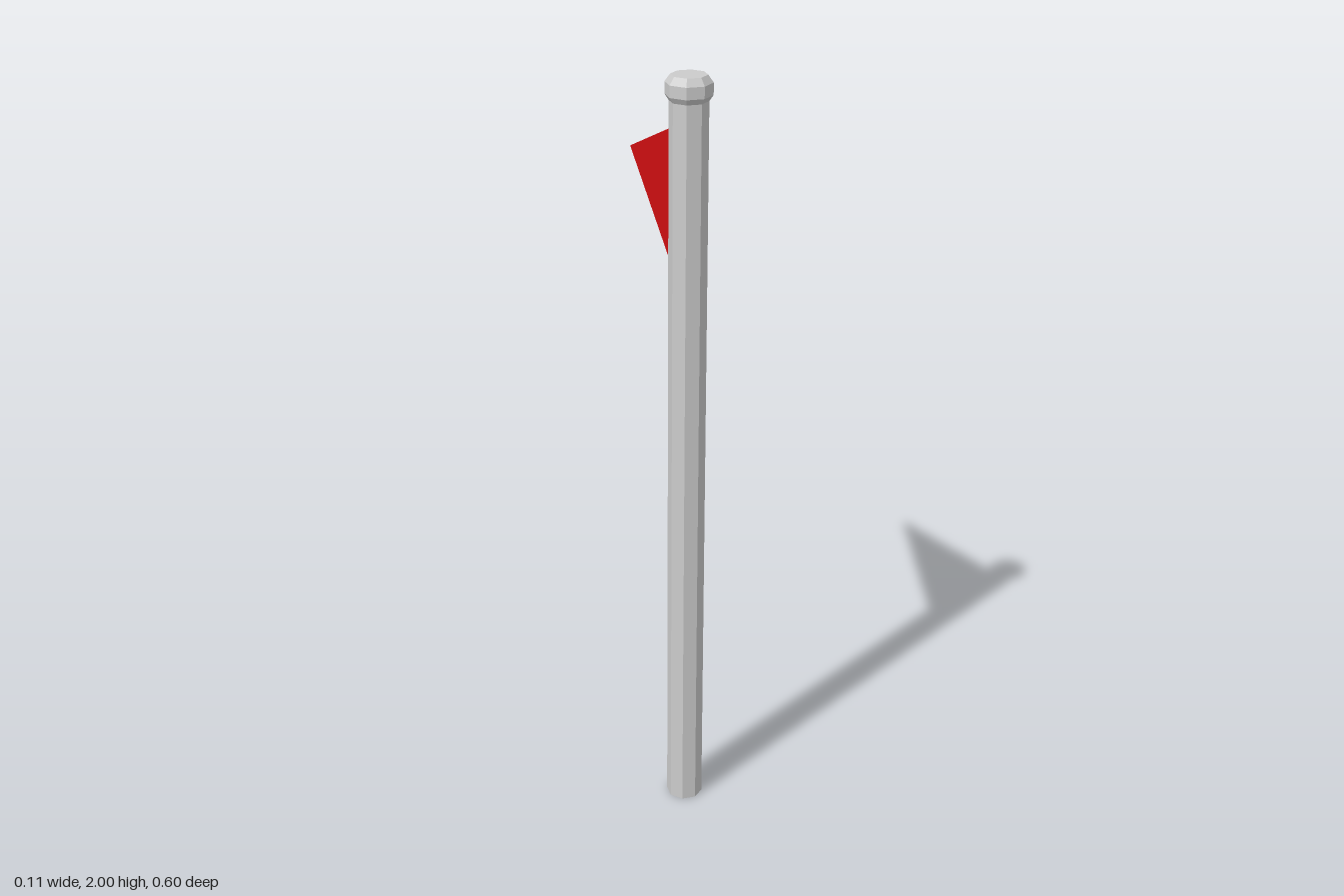
import * as THREE from 'three';

const SIDES = 8;
const TURN = Math.PI / SIDES; // puts flat sides on the x and z axes
const POLE_Z = 0.247;
const POLE_APOTHEM = 0.044;
const toRadius = (apothem) => apothem / Math.cos(TURN);

function addPart(group, name, geometry, color, x, y, z) {
  const material = new THREE.MeshStandardMaterial({ color, flatShading: true });
  const mesh = new THREE.Mesh(geometry, material);
  mesh.name = name;
  mesh.position.set(x, y, z);
  group.add(mesh);
  return mesh;
}

export function createModel() {
  const group = new THREE.Group();
  group.name = 'flagpole';

  // Octagonal pole, standing on the ground
  const poleHeight = 1.945;
  const r = toRadius(POLE_APOTHEM);
  addPart(group, 'pole',
    new THREE.CylinderGeometry(r, r, poleHeight, SIDES, 1, false, TURN),
    0xcccccc, 0, poleHeight / 2, POLE_Z);

  // Bevelled knob on top, as [apothem, y] from bottom to top
  const profile = [[0, 1.937], [0.043, 1.937], [0.053, 1.953], [0.053, 1.982], [0.041, 2], [0, 2]]
    .map(([a, y]) => new THREE.Vector2(toRadius(a), y));
  addPart(group, 'knob', new THREE.LatheGeometry(profile, SIDES, TURN),
    0xcccccc, 0, 0, POLE_Z);

  // Pennant: a thin four-sided pyramid pointing to the back
  const base = POLE_Z - POLE_APOTHEM + 0.002;
  const tip = -0.3;
  const pennant = new THREE.ConeGeometry(Math.SQRT2, 1, 4, 1, false, Math.PI / 4);
  pennant.rotateX(-Math.PI / 2);
  pennant.scale(0.0185, 0.19, base - tip);
  addPart(group, 'pennant', pennant, 0xd40f11, 0, 1.68, (base + tip) / 2);

  return group;
}
